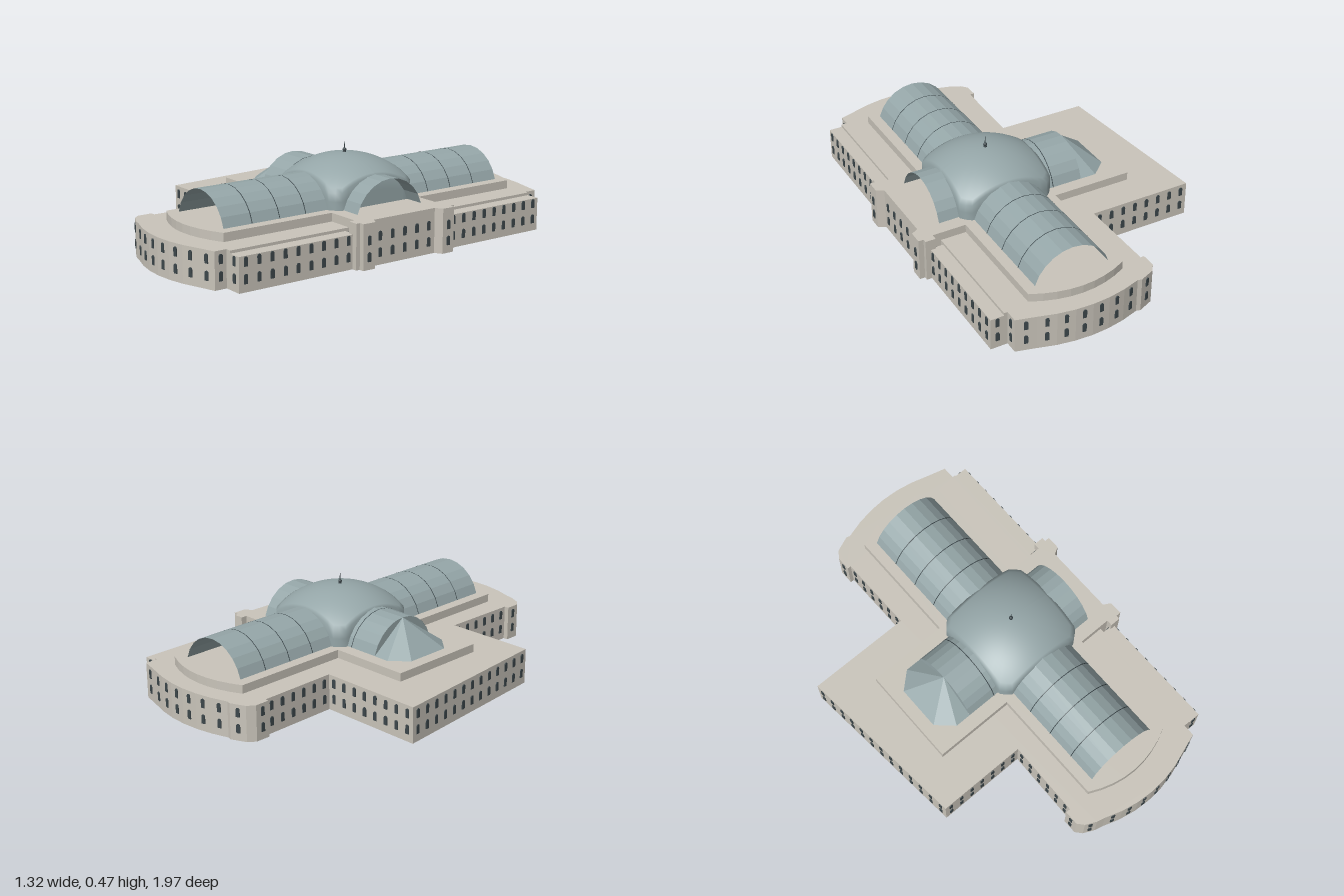
import * as THREE from 'three';
import { mergeGeometries } from 'three/addons/utils/BufferGeometryUtils.js';

const stone = new THREE.MeshStandardMaterial({ color: 0xc9c4ba, flatShading: true });
const slate = new THREE.MeshStandardMaterial({ color: 0x95a6a8, flatShading: true, side: THREE.DoubleSide });
const domeMat = new THREE.MeshStandardMaterial({ color: 0x95a6a8, side: THREE.DoubleSide });
const dark = new THREE.MeshStandardMaterial({ color: 0x3c474b, side: THREE.DoubleSide });

const ROOF = 0.17, TIER = 0.21, SPRING = 0.16, R = 0.19, HALF = 0.235;

function add(parent, name, geo, mat) {
  const m = new THREE.Mesh(geo, mat);
  m.name = name;
  parent.add(m);
  return m;
}

// Flat plan [x, z] raised from y0 to y1
function slab(plan, y0, y1) {
  const s = new THREE.Shape(plan.map(([x, z]) => new THREE.Vector2(x, -z)));
  const g = new THREE.ExtrudeGeometry(s, { depth: y1 - y0, bevelEnabled: false });
  return g.rotateX(-Math.PI / 2).translate(0, y0, 0);
}

// Segmental barrel along z, open at both ends
function barrel(z0, z1, r = R) {
  return new THREE.CylinderGeometry(r, r, z1 - z0, 10, 1, true, Math.PI - 1.3, 2.6)
    .rotateX(Math.PI / 2).translate(0, SPRING, (z0 + z1) / 2);
}

// Shallow curved end: points bulging from one corner to the other
function bow(x0, z0, x1, z1, bulge, n = 8) {
  return Array.from({ length: n + 1 }, (_, i) => {
    const t = i / n;
    return [x0 + (x1 - x0) * t, z0 + (z1 - z0) * t + bulge * 4 * t * (1 - t)];
  });
}

// Two rows of arched windows along every edge of a plan listed clockwise from above
function windowsAlong(plan, closed = true) {
  const w = 0.009, h = 0.034;
  const s = new THREE.Shape();
  s.moveTo(-w, 0); s.lineTo(w, 0); s.lineTo(w, h);
  s.absarc(0, h, w, 0, Math.PI); s.lineTo(-w, 0);
  const pane = new THREE.ExtrudeGeometry(s, { depth: 0.004, bevelEnabled: false, curveSegments: 4 });
  const out = [];
  const n = plan.length - (closed ? 0 : 1);
  for (let i = 0; i < n; i++) {
    const [x0, z0] = plan[i], [x1, z1] = plan[(i + 1) % plan.length];
    const dx = x1 - x0, dz = z1 - z0, len = Math.hypot(dx, dz);
    const count = len < 0.045 ? 0 : Math.max(1, Math.round(len / 0.066));
    for (let k = 0; k < count; k++) {
      const t = (k + 0.5) / count;
      for (const y of [0.037, 0.112]) {
        out.push(pane.clone().rotateY(Math.atan2(dz, -dx)).translate(x0 + dx * t, y, z0 + dz * t));
      }
    }
  }
  return out;
}

// Spherical cap on a square plan with cut corners, with short walls below
function domeGeometry() {
  const seg = 64, rings = 14, pos = [], idx = [];
  const big = 0.43, cy = 0.415 - big;
  for (let j = 0; j <= rings + 2; j++) {
    for (let i = 0; i <= seg; i++) {
      const a = (i / seg) * Math.PI * 2;
      const limit = Math.min(HALF / Math.max(Math.abs(Math.cos(a)), Math.abs(Math.sin(a))), 0.305);
      const r = limit * Math.min(j / rings, 1);
      let y = cy + Math.sqrt(big * big - r * r);
      if (j > rings) y += (TIER - y) * (j - rings) / 2;
      pos.push(r * Math.cos(a), y, r * Math.sin(a));
    }
  }
  for (let j = 0; j < rings + 2; j++) {
    for (let i = 0; i < seg; i++) {
      const a = j * (seg + 1) + i, b = a + seg + 1;
      idx.push(a, a + 1, b, b, a + 1, b + 1);
    }
  }
  const g = new THREE.BufferGeometry();
  g.setAttribute('position', new THREE.Float32BufferAttribute(pos, 3));
  g.setIndex(idx);
  g.computeVertexNormals();
  return g;
}

// Faceted half pyramid leaning on the end of the west barrel
function apseGeometry() {
  const base = [[-0.41, 0.183], [-0.49, 0.183], [-0.57, 0.11], [-0.57, -0.11], [-0.49, -0.183], [-0.41, -0.183]];
  const pos = [];
  for (let i = 0; i < base.length - 1; i++) {
    const [a, b] = [base[i], base[i + 1]];
    pos.push(-0.41, 0.35, 0, b[0], TIER, b[1], a[0], TIER, a[1]);
  }
  const g = new THREE.BufferGeometry();
  g.setAttribute('position', new THREE.Float32BufferAttribute(pos, 3));
  g.computeVertexNormals();
  return g;
}

export function createModel() {
  const model = new THREE.Group();
  model.name = 'domedHall';
  const b = new THREE.Group();
  b.name = 'building';
  b.position.set(0.16, 0, -0.02);
  b.rotation.y = -0.075;
  model.add(b);

  // Main storeys with bowed ends and the west wing
  const walls = [
    [-0.35, -0.79], [-0.368, -0.79], [-0.368, -0.86], [-0.342, -0.895], [-0.27, -0.925],
    ...bow(-0.25, -0.92, 0.25, -0.925, -0.044, 6),
    [0.344, -0.9], [0.344, -0.838], [0.36, -0.838], [0.36, 0.87], [0.332, 0.87], [0.332, 0.928],
    ...bow(0.25, 0.955, -0.25, 0.955, 0.05, 6),
    [-0.29, 0.945], [-0.342, 0.92], [-0.368, 0.89], [-0.368, 0.82], [-0.345, 0.82],
    [-0.338, 0.446], [-0.78, 0.446], [-0.858, -0.408], [-0.345, -0.408],
  ];
  add(b, 'mainStoreys', slab(walls, 0, ROOF), stone);
  const panes = windowsAlong(walls);

  // Lower galleries along the east side
  for (const [z0, z1] of [[-0.838, -0.27], [0.27, 0.87]]) {
    const plan = [[0.36, z0], [0.425, z0], [0.425, z1], [0.36, z1]];
    add(b, 'eastGallery', slab(plan, 0, 0.157), stone);
    panes.push(...windowsAlong(plan, false));
  }

  // East entrance pavilion with two projecting bays
  const pavilion = [
    [0.235, -0.25], [0.4, -0.25], [0.4, -0.28], [0.45, -0.28], [0.45, -0.26], [0.475, -0.26], [0.475, -0.195],
    [0.44, -0.175], [0.44, 0.175], [0.475, 0.195], [0.475, 0.26], [0.45, 0.26], [0.45, 0.28], [0.4, 0.28],
    [0.4, 0.25], [0.235, 0.25],
  ];
  add(b, 'eastPavilion', slab(pavilion, 0, TIER), stone);
  panes.push(...windowsAlong(pavilion.slice(4, 12), false));
  add(b, 'windows', mergeGeometries(panes), dark);

  // Upper tier under the vaults
  const tier = [
    [-0.235, -0.245], ...bow(-0.235, -0.82, 0.235, -0.82, -0.06), ...bow(0.235, 0.82, -0.235, 0.82, 0.06),
    [-0.235, 0.247], [-0.63, 0.247], [-0.63, -0.245],
  ];
  add(b, 'upperTier', slab(tier, ROOF, TIER), stone);

  // Long vaults, with thin ribs
  for (const s of [-1, 1]) {
    const [z0, z1] = s > 0 ? [0.225, 0.787] : [-0.787, -0.225];
    add(b, 'longVault', barrel(z0, z1), slate);
    for (const z of [0.355, 0.495, 0.64]) {
      add(b, 'vaultRib', barrel(s * z - 0.002, s * z + 0.002, R + 0.0008), dark);
    }
  }

  // Short east and west vaults
  add(b, 'eastVault', barrel(0.225, 0.335).rotateY(Math.PI / 2), slate);
  add(b, 'westVault', barrel(-0.41, -0.225).rotateY(Math.PI / 2), slate);
  add(b, 'vaultRib', barrel(-0.262, -0.258, R + 0.0008).rotateY(Math.PI / 2), dark);

  // West end: arch wall and faceted apse roof
  const arch = new THREE.Shape();
  arch.absarc(0, SPRING, R, Math.PI / 2 - 1.3, Math.PI / 2 + 1.3);
  const cap = new THREE.ShapeGeometry(arch, 5).rotateY(-Math.PI / 2).translate(-0.409, 0, 0);
  add(b, 'westArchWall', cap, slate);
  add(b, 'apseRoof', apseGeometry(), slate);

  // Dome and finial
  add(b, 'dome', domeGeometry(), domeMat);
  add(b, 'finialBase', new THREE.CylinderGeometry(0.006, 0.009, 0.012, 10).translate(0, 0.418, 0), dark);
  add(b, 'finialBall', new THREE.SphereGeometry(0.009, 12, 8).translate(0, 0.427, 0), dark);
  add(b, 'finialSpike', new THREE.CylinderGeometry(0.001, 0.002, 0.04, 6).translate(0, 0.45, 0), dark);
  return model;
}
